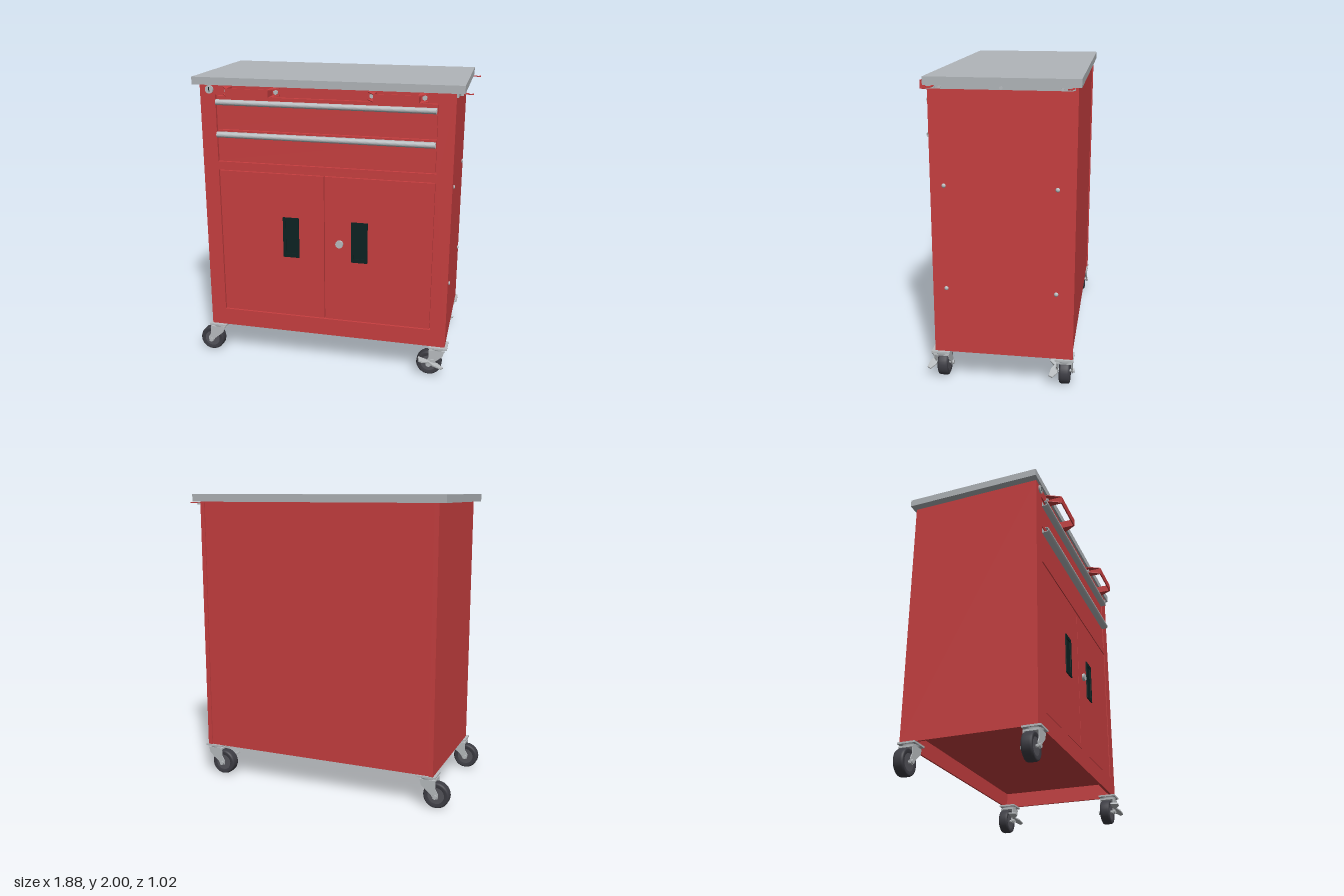
import * as THREE from 'three';

const mat = (name, color, side = THREE.FrontSide) => {
  const m = new THREE.MeshStandardMaterial({ color, side });
  m.name = name;
  return m;
};

export function createModel() {
  const red = mat('red paint', 0xc83f40);
  const grey = mat('grey worktop', 0xb1b5b9);
  const steel = mat('steel', 0xb9bdc0);
  const black = mat('dark green plastic', 0x0c2222);
  const rubber = mat('rubber', 0x3d3d44);
  const hubGrey = mat('hub', 0x55555c);
  const root = new THREE.Group();
  root.name = 'toolCabinet';

  const add = (name, geo, m, x = 0, y = 0, z = 0, parent = root) => {
    const mesh = new THREE.Mesh(geo, m);
    mesh.name = name;
    mesh.position.set(x, y, z);
    parent.add(mesh);
    return mesh;
  };
  // Box given by its limits
  const box = (name, m, x0, x1, y0, y1, z0, z1, parent = root) =>
    add(name, new THREE.BoxGeometry(x1 - x0, y1 - y0, z1 - z0), m,
      (x0 + x1) / 2, (y0 + y1) / 2, (z0 + z1) / 2, parent);
  const poly = pts => new THREE.Shape(pts.map(p => new THREE.Vector2(p[0], p[1])));
  const rect = (x0, x1, y0, y1) => [[x0, y0], [x1, y0], [x1, y1], [x0, y1]];
  const extrude = (shape, depth) =>
    new THREE.ExtrudeGeometry(shape, { depth, bevelEnabled: false, curveSegments: 12 });
  // Flat plate drawn in x and z
  const plateXZ = (pts, depth) => extrude(poly(pts.map(([x, z]) => [x, -z])), depth).rotateX(-Math.PI / 2);
  const discZ = (r, d, n = 24) => new THREE.CylinderGeometry(r, r, d, n).rotateX(Math.PI / 2);
  const discX = (r, d, n = 16) => new THREE.CylinderGeometry(r, r, d, n).rotateZ(Math.PI / 2);

  // Worktop
  box('worktop', grey, -0.89, 0.89, 1.95, 2, -0.51, 0.42);

  // Sheet metal body, open below a raised floor
  for (const s of [-1, 1]) {
    const a = s * 0.84, b = s * 0.825;
    box('sidePanel', red, Math.min(a, b), Math.max(a, b), 0.22, 1.95, -0.49, 0.405);
    box('rearFlange', red, s < 0 ? -0.84 : 0.81, s < 0 ? -0.81 : 0.84, 0.22, 1.95, -0.49, -0.482);
  }
  box('backPanel', red, -0.825, 0.825, 0.22, 1.95, -0.482, -0.47);
  box('floor', red, -0.825, 0.825, 0.33, 0.342, -0.47, 0.385);
  box('innerPanel', red, -0.825, 0.825, 0.342, 1.94, 0.365, 0.375);
  const frame = poly(rect(-0.84, 0.84, 0.22, 1.95));
  for (const r of [[-0.735, 0.735, 0.342, 1.378], [-0.735, 0.735, 1.435, 1.885]])
    frame.holes.push(new THREE.Path(rect(...r).map(p => new THREE.Vector2(...p))));
  add('frontFrame', extrude(frame, 0.02), red, 0, 0, 0.385);
  for (const x of [-0.79, 0.79])
    for (const z of [-0.435, 0.36])
      box('casterMount', red, x - 0.034, x + 0.034, 0.22, 0.23, z - 0.044, z + 0.044);

  // Drawers with curled full width pulls
  const curl = new THREE.Shape();
  curl.absarc(0, 0, 0.019, -0.5 * Math.PI, 0.65 * Math.PI, false);
  curl.absarc(0, 0, 0.014, 0.65 * Math.PI, -0.5 * Math.PI, true);
  for (const [y0, y1, pull, zo] of [[1.66, 1.878, 1.84, 0.424], [1.442, 1.652, 1.625, 0.43]]) {
    box('drawerFront', red, -0.727, 0.727, y0, y1, 0.375, 0.4);
    // Rotated so that the curl opens towards the drawer
    const g = extrude(curl, 1.446).rotateY(-Math.PI / 2);
    add('drawerPull', g, steel, 0.723, pull, zo);
    box('pullBase', steel, -0.723, 0.723, pull - 0.019, pull - 0.014, 0.4, zo);
    box('pullBack', steel, -0.723, 0.723, pull - 0.019, pull + 0.015, 0.4, 0.404);
  }

  // Doors with recessed grips
  for (const s of [-1, 1]) {
    box('door', red, s < 0 ? -0.729 : 0.003, s < 0 ? -0.003 : 0.729, 0.348, 1.372, 0.375, 0.402);
    const x = s < 0 ? -0.233 : 0.241;
    const grip = poly(rect(-0.056, 0.056, 0.785, 1.07));
    grip.holes.push(new THREE.Path(rect(-0.036, 0.036, 0.812, 1.045).map(p => new THREE.Vector2(...p))));
    add('gripFrame', extrude(grip, 0.01), black, x, 0, 0.4);
    box('gripRecess', black, x - 0.04, x + 0.04, 0.81, 1.047, 0.4, 0.404);
  }

  // Locks and keys
  add('doorLock', discZ(0.026, 0.02), steel, 0.105, 0.91, 0.41);
  add('topLock', discZ(0.028, 0.012), steel, -0.773, 1.92, 0.409);
  box('topKeySlot', black, -0.776, -0.77, 1.905, 1.935, 0.414, 0.417);
  const key = new THREE.Group();
  key.name = 'keys';
  key.position.set(0.105, 0, 0);
  box('keyShaft', steel, -0.003, 0.003, 0.903, 0.917, 0.42, 0.435, key);
  add('keyBow', discX(0.03, 0.006, 20), steel, 0, 0.91, 0.443, key);
  add('keyRing', new THREE.TorusGeometry(0.024, 0.003, 6, 24), steel, 0, 0.895, 0.455, key);
  add('spareKeyBow', discX(0.028, 0.006, 20), steel, -0.003, 0.85, 0.458, key);
  box('spareKeyBlade', steel, -0.006, 0, 0.765, 0.83, 0.449, 0.462, key);

  // Front tool holders
  for (const s of [-1, 1]) {
    const h = new THREE.Group();
    h.name = 'toolHolder';
    h.position.x = s * 0.48;
    root.add(h);
    box('holderBar', red, -0.142, 0.142, 1.892, 1.945, 0.502, 0.51, h);
    for (const t of [-1, 1]) {
      const wedge = [[t * 0.19, 0.405], [t * 0.14, 0.405], [t * 0.134, 0.51], [t * 0.142, 0.51], [t * 0.19, 0.425]];
      if (t > 0) wedge.reverse();
      for (const y of [1.892, 1.94]) add('holderWedge', plateXZ(wedge, 0.005), red, 0, y, 0, h);
      box('holderSide', red, t * 0.138 - 0.004, t * 0.138 + 0.004, 1.892, 1.945, 0.405, 0.51, h);
      box('holderTab', red, t * 0.166 - 0.024, t * 0.166 + 0.024, 1.892, 1.945, 0.404, 0.409, h);
      add('holderBolt', discZ(0.016, 0.014, 6), steel, t * 0.166, 1.917, 0.415, h);
    }
  }

  // Side rail with hooks
  box('sideRail', grey, 0.84, 0.852, 1.925, 1.95, -0.46, 0.41);
  for (const z of [0.325, -0.04, -0.4]) add('railBolt', discX(0.01, 0.01, 12), steel, 0.856, 1.937, z);
  const hook = [[0.83, -0.012], [0.915, -0.012], [0.915, -0.03], [0.922, -0.036], [0.93, -0.03], [0.93, -0.018],
    [0.938, -0.018], [0.938, -0.036], [0.924, -0.046], [0.907, -0.038], [0.905, -0.025], [0.83, -0.025]]
    .map(([x, z]) => [x, -z - 0.03]);
  for (const z of [0.375, -0.45]) {
    add('sideHook', plateXZ(hook.map(p => [p[0], p[1]]).reverse(), 0.006), red, 0, 1.941, z);
    add('hookBolt', new THREE.CylinderGeometry(0.014, 0.014, 0.012, 6), steel, 0.866, 1.937, z - 0.01);
  }

  // Side screws
  for (const y of [0.662, 1.335])
    for (const z of [0.32, -0.378]) {
      const dome = new THREE.SphereGeometry(0.014, 16, 8).scale(0.7, 1, 1);
      add('sideScrew', dome, steel, 0.84, y, z);
    }

  // Casters trailing towards -x, with brakes on the +x pair
  const tyre = new THREE.LatheGeometry([[0.055, -0.03], [0.075, -0.035], [0.083, -0.031], [0.087, -0.02],
    [0.087, 0.02], [0.083, 0.031], [0.075, 0.035], [0.055, 0.03]]
    .map(p => new THREE.Vector2(...p)), 32).rotateX(Math.PI / 2);
  const leg = extrude(poly([[-0.078, 0.075], [-0.05, 0.07], [-0.03, 0.1], [0.035, 0.155], [0.045, 0.195],
    [-0.06, 0.195], [-0.06, 0.14], [-0.08, 0.105]]), 0.006);
  const pedal = plateXZ([[-0.14, 0.045], [0.0, 0.045], [0.045, 0.075], [0.03, 0.098], [-0.03, 0.09],
    [-0.065, 0.07], [-0.1, 0.1], [-0.13, 0.098]], 0.01);
  for (const x of [-0.795, 0.795])
    for (const z of [0.368, -0.435]) {
      const c = new THREE.Group();
      c.name = 'caster';
      c.position.set(x, 0, z);
      root.add(c);
      box('mountPlate', steel, -0.063, 0.063, 0.208, 0.22, -0.06, 0.06, c);
      add('swivel', new THREE.CylinderGeometry(0.055, 0.05, 0.02, 24), steel, 0, 0.2, 0, c);
      box('forkCrown', steel, -0.06, 0.045, 0.183, 0.195, -0.05, 0.05, c);
      for (const s of [-1, 1]) {
        add('forkLeg', leg, steel, 0, 0, s * 0.048 - 0.003, c);
        add('axleNut', discZ(0.016, 0.012, 6), steel, -0.06, 0.087, s * 0.055, c);
      }
      add('axle', discZ(0.01, 0.1, 12), steel, -0.06, 0.087, 0, c);
      add('tyre', tyre, rubber, -0.06, 0.087, 0, c);
      add('wheelHub', discZ(0.058, 0.056, 32), hubGrey, -0.06, 0.087, 0, c);
      if (x > 0) {
        const p = add('brakePedal', pedal, steel, 0, 0.09, 0, c);
        p.rotation.z = -0.28;
        box('brakeLink', steel, -0.05, -0.02, 0.085, 0.13, 0.048, 0.06, c);
      }
    }
  // The lathed tyres are open towards the hub
  rubber.side = THREE.DoubleSide;
  return root;
}
